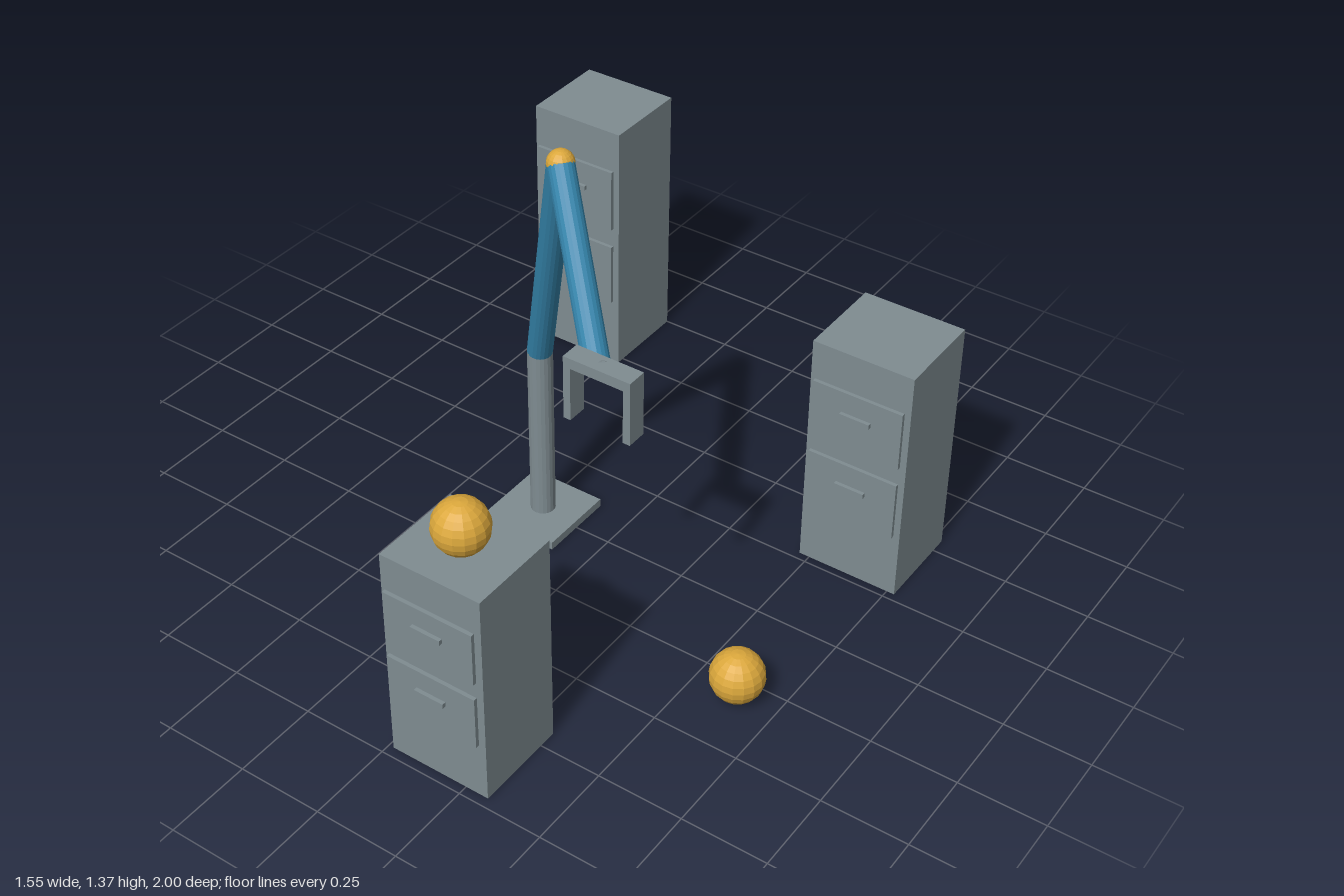
import * as THREE from 'three';

export function createModel() {
  const model = new THREE.Group();
  model.name = 'robotArmScene';

  const mat = (name, color, flatShading = false) => {
    const m = new THREE.MeshStandardMaterial({ color, flatShading });
    m.name = name;
    return m;
  };
  const grey = mat('steel grey', 0x7f8c91, true);
  const blue = mat('arm blue', 0x3585ac, true);
  const gold = mat('golden orange', 0xdca83c, true);

  const add = (parent, name, geometry, material, x, y, z) => {
    const mesh = new THREE.Mesh(geometry, material);
    mesh.name = name;
    mesh.position.set(x, y, z);
    parent.add(mesh);
    return mesh;
  };
  const box = (parent, name, w, h, d, x, y, z) =>
    add(parent, name, new THREE.BoxGeometry(w, h, d), grey, x, y, z);
  const ball = (parent, name, r, p) =>
    add(parent, name, new THREE.SphereGeometry(r, 16, 12), gold, p.x, p.y, p.z);

  // Cylinder running between two points
  const rod = (parent, name, a, b, r, material) => {
    const dir = b.clone().sub(a);
    const mid = a.clone().add(b).multiplyScalar(0.5);
    const geo = new THREE.CylinderGeometry(r, r, dir.length(), 20);
    const mesh = add(parent, name, geo, material, mid.x, mid.y, mid.z);
    mesh.quaternion.setFromUnitVectors(new THREE.Vector3(0, 1, 0), dir.normalize());
  };

  // Filing cabinets: body, two drawer fronts and their handles
  const cabinet = (name, x, front, h) => {
    const g = new THREE.Group();
    g.name = name;
    g.position.set(x, 0, front);
    box(g, 'cabinetBody', 0.304, h, 0.275, 0, h / 2, -0.1375);
    for (const level of [0.403, 0.724]) {
      box(g, 'drawerFront', 0.272, h * 0.245, 0.011, 0, h * level, 0.0115);
      box(g, 'drawerHandle', 0.09, 0.014, 0.011, 0, h * (level + 0.025), 0.0225);
    }
    model.add(g);
  };
  cabinet('tallCabinet', -0.623, -0.725, 0.825);
  cabinet('frontCabinet', 0.167, 0.972, 0.652);
  cabinet('middleCabinet', 0.621, -0.274, 0.737);

  // Jointed arm on a square base
  const arm = new THREE.Group();
  arm.name = 'robotArm';
  model.add(arm);
  const foot = new THREE.Vector3(-0.228, 0.025, 0);
  const shoulder = new THREE.Vector3(-0.228, 0.577, 0);
  const elbow = new THREE.Vector3(-0.018, 1.336, 0.176);
  const wrist = new THREE.Vector3(0.234, 0.96, 0.382);
  const hand = new THREE.Vector3(0.291, 0.993, 0.433);
  box(arm, 'basePlate', 0.236, 0.025, 0.236, foot.x, 0.0125, 0);
  rod(arm, 'column', foot, shoulder, 0.036, grey);
  ball(arm, 'shoulderJoint', 0.036, shoulder);
  rod(arm, 'upperArm', shoulder, elbow, 0.036, blue);
  ball(arm, 'elbowJoint', 0.037, elbow);
  rod(arm, 'forearm', elbow, wrist, 0.036, blue);
  rod(arm, 'wrist', wrist, hand, 0.02, grey);

  // Gripper: crossbar with two fingers
  const gripper = new THREE.Group();
  gripper.name = 'gripper';
  gripper.position.copy(hand);
  box(gripper, 'gripperBar', 0.198, 0.03, 0.058, 0, 0, 0);
  for (const side of [-1, 1]) {
    box(gripper, 'gripperFinger', 0.021, 0.156, 0.058, side * 0.0885, -0.093, 0);
  }
  arm.add(gripper);

  // Loose balls, one on the cabinet and one on the floor
  ball(model, 'cabinetBall', 0.076, new THREE.Vector3(0.168, 0.727, 0.845));
  ball(model, 'floorBall', 0.076, new THREE.Vector3(0.632, 0.077, 0.312));

  return model;
}
